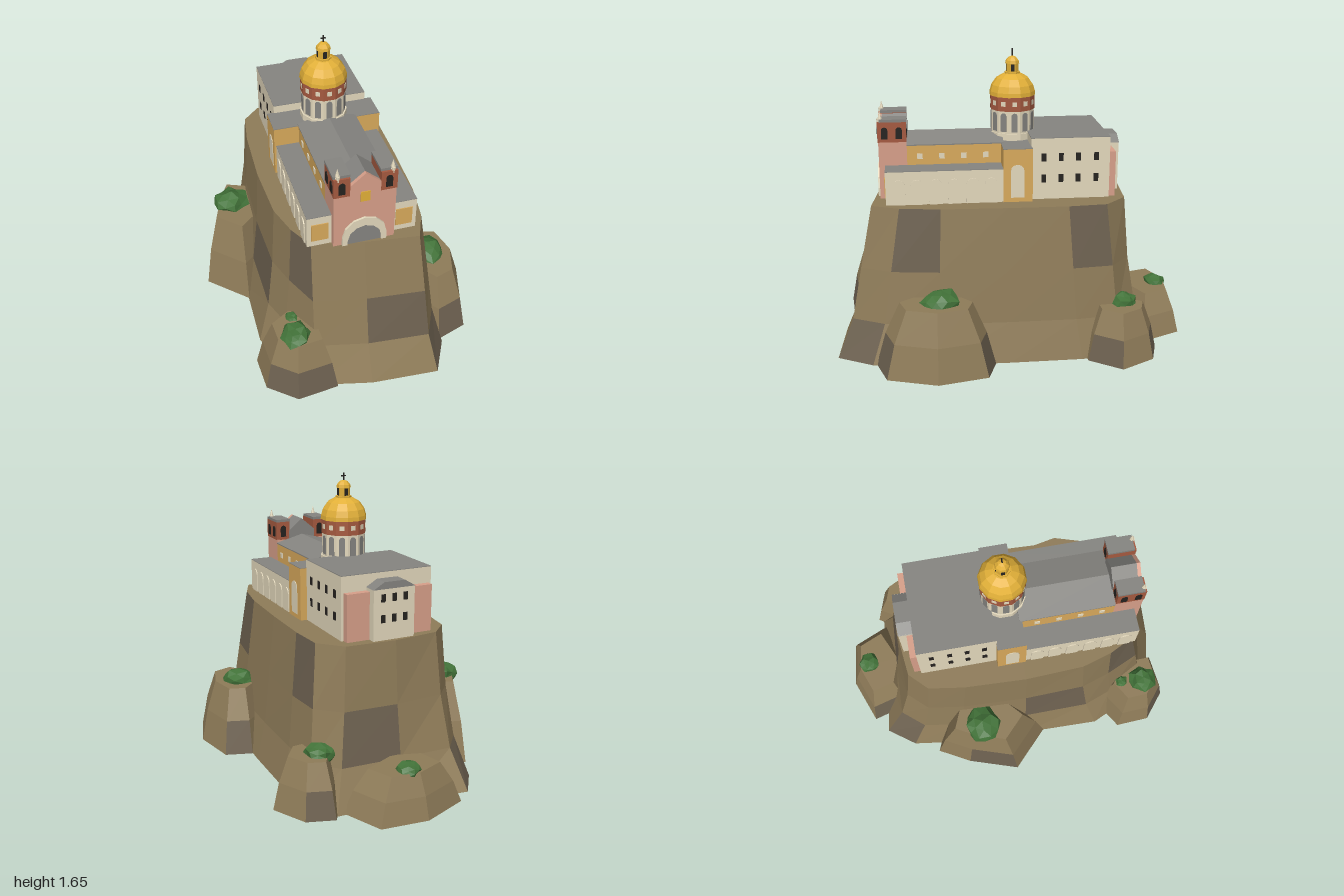
import * as THREE from 'three';

const paint = (name, color) => { const m = new THREE.MeshStandardMaterial({ color }); m.name = name; return m; };
const M = {
  rock: paint('tan rock', 0x8f7c59), dark: paint('dark rock', 0x6d6150),
  cream: paint('cream stone', 0xe4d9bd), ochre: paint('ochre plaster', 0xd9aa5c),
  pink: paint('pink plaster', 0xd8a08a), brick: paint('red brick', 0xa65a40),
  gold: paint('gold', 0xe2b038), roof: paint('grey roof', 0x868581),
  green: paint('leaf green', 0x427339), black: paint('window black', 0x25221f),
};
const G = 0.855; // height of the plateau
const DZ = -0.015; // z of the dome axis

function createFlat(geo) {
  const g = geo.index ? geo.toNonIndexed() : geo;
  g.computeVertexNormals();
  return g;
}

export function createModel() {
  const root = new THREE.Group();
  root.name = 'hilltopChurch';

  const add = (name, geo, mat, x = 0, y = 0, z = 0, ry = 0) => {
    const m = new THREE.Mesh(geo, mat);
    m.name = name;
    m.position.set(x, y, z);
    m.rotation.y = ry;
    root.add(m);
  };
  // box spanning the given limits
  const box = (name, mat, x0, x1, y0, y1, z0, z1) =>
    add(name, new THREE.BoxGeometry(x1 - x0, y1 - y0, z1 - z0), mat, (x0 + x1) / 2, (y0 + y1) / 2, (z0 + z1) / 2);
  // thin plate facing the direction ry, standing on y
  const plate = (name, mat, w, h, x, y, z, ry = 0) =>
    add(name, new THREE.BoxGeometry(w, h, 0.008), mat, x, y + h / 2, z, ry);
  const extrude = (pts, depth) => new THREE.ExtrudeGeometry(
    new THREE.Shape(pts.map(p => new THREE.Vector2(p[0], p[1]))), { depth, bevelEnabled: false });
  const arc = (r, cy, n = 6) => Array.from({ length: n + 1 }, (_, i) =>
    [r * Math.cos(Math.PI * i / n), cy + r * Math.sin(Math.PI * i / n)]);
  const archPlate = (name, mat, w, h, x, y, z, ry = 0, d = 0.005) =>
    add(name, extrude([[-w / 2, 0], [w / 2, 0], ...arc(w / 2, h - w / 2)], d), mat, x, y, z, ry);

  // rock loft: rings run counter-clockwise seen from above; some facets and the underside are dark
  function loft(name, rings, isDark) {
    const light = [], dark = [], n = rings[0].length;
    for (let k = 0; k < rings.length - 1; k++) for (let i = 0; i < n; i++) {
      const j = (i + 1) % n, a = rings[k][i], b = rings[k][j], c = rings[k + 1][j], d = rings[k + 1][i];
      (isDark(k, i) ? dark : light).push(...a, ...b, ...c, ...a, ...c, ...d);
    }
    const cap = (list, ring, up) => {
      const c = [0, 1, 2].map(q => ring.reduce((s, p) => s + p[q], 0) / n);
      ring.forEach((p, i) => {
        const q = ring[(i + 1) % n];
        list.push(...c, ...(up ? p : q), ...(up ? q : p));
      });
    };
    cap(dark, rings[0], false);
    cap(light, rings[rings.length - 1], true);
    [[light, M.rock, ''], [dark, M.dark, 'DarkFacets']].forEach(([pos, mat, tag]) => {
      const g = new THREE.BufferGeometry();
      g.setAttribute('position', new THREE.Float32BufferAttribute(pos, 3));
      g.computeVertexNormals();
      add(name + tag, g, mat);
    });
  }

  // main rock, steeper at the back and left
  const foot = [[0, .97], [.375, .995], [.48, .8], [.52, .45], [.53, .05], [.53, -.35], [.5, -.6], [.4, -.76],
    [0, -.78], [-.35, -.83], [-.465, -.67], [-.5, -.42], [-.52, .05], [-.53, .5], [-.46, .66], [-.3, .9]];
  const rim = [[0, .745], [.29, .78], [.355, .63], [.39, .41], [.405, .05], [.41, -.28], [.395, -.49], [.28, -.61],
    [0, -.63], [-.26, -.6], [-.36, -.5], [-.39, -.3], [-.405, .05], [-.39, .38], [-.34, .55], [-.27, .69]];
  const mix = (y, tFront, tBack) => foot.map((p, i) => {
    const t = i >= 7 && i <= 14 ? tBack : tFront;
    return [p[0] + (rim[i][0] - p[0]) * t, y, p[1] + (rim[i][1] - p[1]) * t];
  });
  const patches = ['1,0', '2,2', '2,5', '2,14', '0,1', '1,7', '1,12', '0,9'];
  loft('mainRock', [mix(0, 0, 0), mix(.22, .42, .52), mix(.51, .68, .82), mix(G, 1, 1)],
    (k, i) => patches.includes(k + ',' + i));

  // lower crags around the foot, each with a bush
  const crags = [
    { c: [-.49, -.2], h: .46, base: [[-.52, .16], [-.34, 0], [-.36, -.45], [-.54, -.525], [-.64, -.34], [-.735, -.05]], dark: [4], bush: [-.52, -.23, .11] },
    { c: [-.36, .76], h: .33, base: [[-.42, .965], [-.19, .94], [-.2, .65], [-.4, .53], [-.58, .64], [-.57, .84]], dark: [0, 5], bush: [-.39, .8, .09] },
    { c: [.5, .44], h: .37, base: [[.47, .78], [.65, .72], [.735, .45], [.68, .18], [.53, .13], [.34, .3], [.34, .6]], dark: [0, 3], bush: [.5, .42, .115] },
    { c: [.46, -.57], h: .29, base: [[.55, -.38], [.67, -.55], [.57, -.74], [.42, -.79], [.3, -.6], [.38, -.37]], dark: [0, 2], bush: [.42, -.59, .085] },
    { c: [.04, -.82], h: .24, base: [[.05, -.6], [.36, -.74], [.26, -.97], [0, -1], [-.26, -.9], [-.2, -.68]], dark: [4], bush: [.05, -.87, .065] },
  ];
  const bush = (x, y, z, r) => {
    const g = new THREE.IcosahedronGeometry(r, 1), p = g.attributes.position, v = new THREE.Vector3();
    for (let i = 0; i < p.count; i++) {
      v.fromBufferAttribute(p, i);
      v.multiplyScalar(.93 + .13 * Math.sin((v.x * 8 + v.y * 6 + v.z * 11) / r + x * 20));
      p.setXYZ(i, v.x, v.y * .65, v.z);
    }
    add('bush', createFlat(g), M.green, x, y, z);
  };
  crags.forEach(({ c, h, base, dark, bush: b }) => {
    const ring = (y, s) => base.map(p => [c[0] + (p[0] - c[0]) * s, y, c[1] + (p[1] - c[1]) * s]);
    loft('crag', [ring(0, 1), ring(h * .52, .84), ring(h, .6)], (k, i) => k === 0 && dark.includes(i));
    bush(b[0], h, b[1], b[2]);
  });
  bush(-.38, .32, .67, .045);

  // facade block with gable and portal
  box('facadeBlock', M.pink, -.163, .163, G, 1.178, .58, .733);
  const gable = [[-.085, 1.17], [.085, 1.17], [.085, 1.225], [0, 1.297], [-.085, 1.225]];
  add('facadeGable', extrude(gable, .02), M.pink, 0, 0, .715);
  add('gableRoof', extrude(gable, .14), M.roof, 0, 0, .575);
  plate('facadeWindow', M.gold, .05, .06, 0, 1.125, .735);
  add('portalSurround', extrude([[.118, G], ...arc(.118, .902), [-.118, G], [-.09, G], ...arc(.09, .88).reverse(), [.09, G]], .014), M.cream, 0, 0, .731);
  archPlate('portalDoor', M.roof, .18, .115, 0, G, .732);

  // nave
  box('naveWall', M.ochre, -.163, .163, G, 1.152, .05, .58);
  add('naveRoof', extrude([[-.166, 1.15], [.166, 1.15], [.166, 1.156], [0, 1.2], [-.166, 1.156]], .53), M.roof, 0, 0, .05);

  // back block with rear bay
  box('backBlock', M.cream, -.265, .265, G, 1.197, -.525, -.09);
  box('backBlockRoof', M.roof, -.265, .265, 1.197, 1.2, -.525, -.09);
  box('rearBay', M.cream, -.12, .12, G, 1.13, -.605, -.52);
  add('rearBayRoof', extrude([[-.123, 1.128], [.123, 1.128], [.06, 1.165], [-.06, 1.165]], .085), M.roof, 0, 0, -.607);
  for (const x of [-.065, 0, .065]) for (const y of [.95, 1.06]) plate('rearWindow', M.black, .024, .042, x, y, -.605);

  // transept
  box('transept', M.ochre, -.303, .303, G, 1.15, -.095, .065);
  box('transeptRoof', M.roof, -.303, .303, 1.15, 1.153, -.095, .065);

  // mirrored parts
  for (const s of [-1, 1]) {
    const span = (name, mat, a, b, ...r) => box(name, mat, Math.min(s * a, s * b), Math.max(s * a, s * b), ...r);
    const side = s * Math.PI / 2;
    // bell tower
    span('bellTower', M.brick, .08, .165, 1.172, 1.283, .58, .736);
    span('towerRoof', M.roof, .078, .167, 1.283, 1.298, .578, .725);
    add('towerFinial', createFlat(new THREE.ConeGeometry(.015, .055, 6)), M.cream, s * .142, 1.315, .72);
    add('finialBase', createFlat(new THREE.CylinderGeometry(.01, .01, .03, 6)), M.cream, s * .142, 1.285, .728);
    archPlate('belfryOpening', M.black, .035, .07, s * .122, 1.19, .734);
    archPlate('belfryOpening', M.black, .035, .07, s * .122, 1.19, .582, Math.PI);
    for (const z of [.62, .698]) archPlate('belfryOpening', M.black, .035, .065, s * .163, 1.19, z, side);
    // side aisle
    span('aisle', M.cream, .16, .293, G, 1.039, .06, .7);
    span('aisleRoof', M.roof, .16, .293, 1.039, 1.042, .06, .7);
    plate('aisleFrontPanel', M.ochre, .09, .105, s * .225, .89, .701);
    for (let i = 0; i < 6; i++) archPlate('aisleArch', M.cream, .07, .14, s * .291, G, .13 + i * .1, side, .008);
    // nave and transept windows
    for (const z of [.51, .39, .27, .15]) plate('naveWindow', M.cream, .03, .03, s * .164, 1.075, z, side);
    archPlate('transeptWindow', M.cream, .075, .185, s * .301, .88, -.012, side);
    // back block windows and rear panels
    for (const z of [-.16, -.255, -.35, -.45]) for (const y of [.95, 1.07])
      plate('backBlockWindow', M.black, .026, .044, s * .264, y, z, side);
    span('rearPanel', M.pink, .12, .25, G, 1.11, -.562, -.52);
  }

  // drum, dome and lantern
  const N = 12;
  const drum = (name, mat, r0, r1, y0, y1, n = N) =>
    add(name, createFlat(new THREE.CylinderGeometry(r1, r0, y1 - y0, n)), mat, 0, (y0 + y1) / 2, DZ, Math.PI / n);
  drum('drumBase', M.cream, .13, .13, 1.15, 1.19);
  drum('drum', M.cream, .122, .122, 1.19, 1.315);
  drum('drumBand', M.brick, .126, .126, 1.315, 1.395);
  for (let i = 0; i < N; i++) {
    const a = i * Math.PI * 2 / N, x = Math.sin(a), z = Math.cos(a);
    archPlate('drumPanel', M.roof, .034, .105, x * .116, 1.2, DZ + z * .116, a);
    plate('drumBandWindow', M.cream, .026, .026, x * .12, 1.343, DZ + z * .12, a);
  }
  const turn = (name, pts, n) => add(name, createFlat(new THREE.LatheGeometry(pts.map(p => new THREE.Vector2(...p)), n)),
    M.gold, 0, 0, DZ, Math.PI / n);
  turn('dome', [[0, 1.393], [.13, 1.393], [.128, 1.415], [.117, 1.45], [.09, 1.487], [.05, 1.51], [0, 1.518]], N);
  drum('lanternBase', M.gold, .044, .044, 1.503, 1.52, 8);
  drum('lantern', M.gold, .035, .035, 1.518, 1.57, 8);
  for (let i = 0; i < 4; i++) {
    const a = i * Math.PI / 2;
    plate('lanternOpening', M.black, .02, .04, Math.sin(a) * .031, 1.523, DZ + Math.cos(a) * .031, a);
  }
  turn('lanternDome', [[0, 1.566], [.041, 1.566], [.037, 1.582], [.022, 1.6], [0, 1.608]], 8);
  box('crossPost', M.black, -.003, .003, 1.6, 1.647, DZ - .003, DZ + .003);
  box('crossArm', M.black, -.013, .013, 1.626, 1.632, DZ - .003, DZ + .003);

  return root;
}
